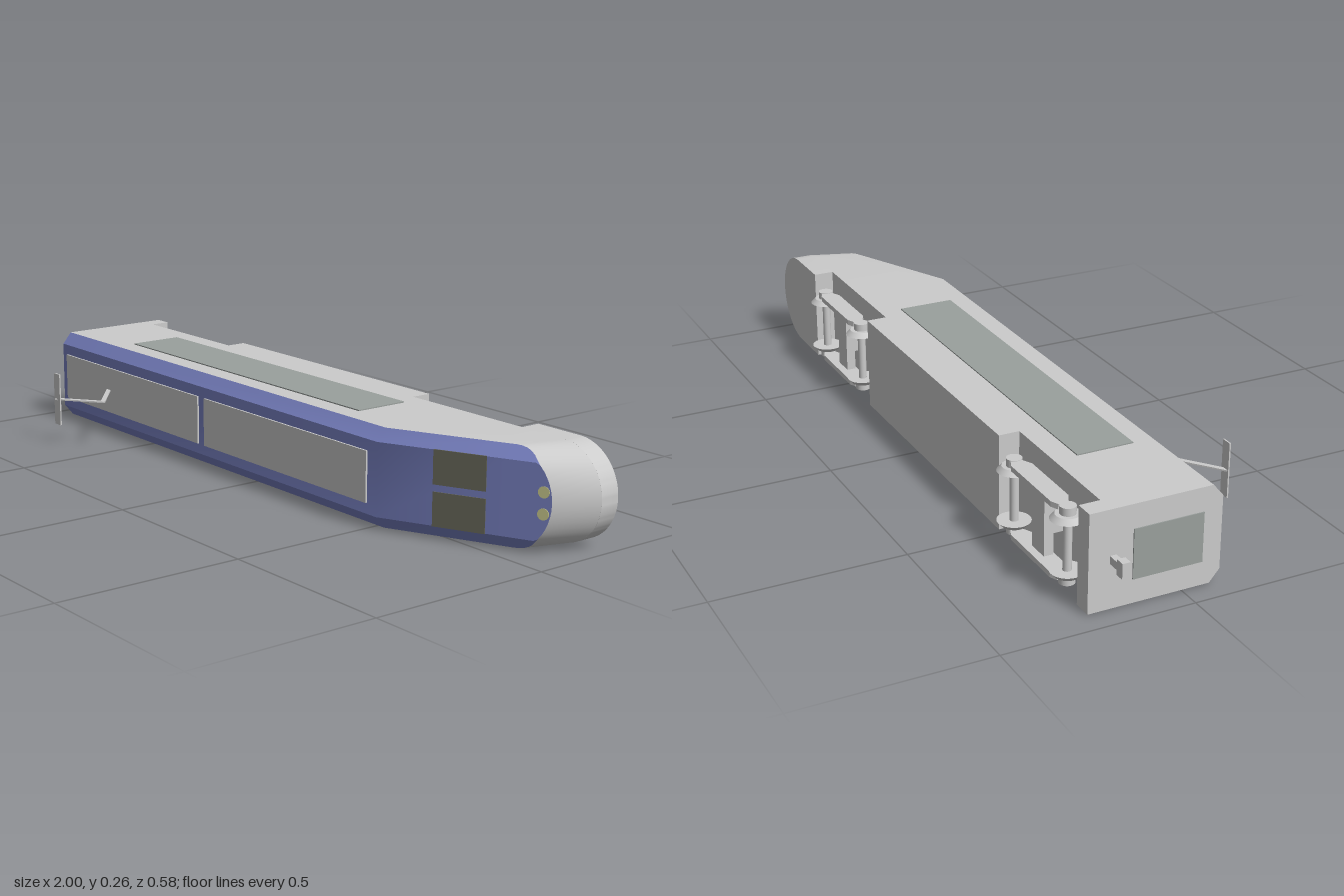
import * as THREE from 'three';
import { toCreasedNormals } from 'three/addons/utils/BufferGeometryUtils.js';

const mat = (color) => new THREE.MeshStandardMaterial({ color, side: THREE.DoubleSide });
const GREY = mat(0xcccccc), BLUE = mat(0x7780c0), GLASS = mat(0x9aa09d);
const DARK = mat(0x666659), YELLOW = mat(0xc8c88c);

// The car lies on its side: length on x, width on y, its roof faces +z.
const H = 0.128, ROOF = 0.096, REAR = -0.94, KNEE = 0.53, FLOOR = -0.195, BOTTOM = -0.25;
const SLOPE = 0.463, NOSE_STEPS = 24;
const roofZ = (x) => 0.1 - SLOPE * Math.max(0, x - KNEE);

function add(parent, name, geometry, material, x = 0, y = 0, z = 0) {
  const mesh = new THREE.Mesh(geometry, material);
  mesh.name = name;
  mesh.position.set(x, y, z);
  parent.add(mesh);
  return mesh;
}

// Box given by its limits on each axis
function span(parent, name, material, [x0, x1], [y0, y1], [z0, z1]) {
  const box = new THREE.BoxGeometry(x1 - x0, y1 - y0, z1 - z0);
  return add(parent, name, box, material, (x0 + x1) / 2, (y0 + y1) / 2, (z0 + z1) / 2);
}

// Plan outline with a rounded nose, counter-clockwise seen from the roof
function outline(base, reach, zAt, limit = H) {
  const plan = [[REAR, -H], [KNEE, -H]];
  for (let i = 0; i <= NOSE_STEPS; i++) {
    const a = -Math.PI / 2 + (Math.PI * i) / NOSE_STEPS;
    plan.push([base + reach * Math.cos(a), H * Math.sin(a)]);
  }
  plan.push([KNEE, H], [REAR, H]);
  return plan.map(([x, y]) => [x, THREE.MathUtils.clamp(y, -limit, limit), zAt(x, y)]);
}

const quad = (out, a, b, c, d) => out.push(...a, ...b, ...c, ...a, ...c, ...d);

// Wall between two rings, from segment 0 up to the given count
function wall(out, low, high, from, to) {
  const n = low.length;
  for (let i = from; i < to; i++) {
    const j = (i + 1) % n;
    quad(out, low[i], low[j], high[j], high[i]);
  }
}

// Cap bridging the two mirrored halves of a ring
function cap(out, ring, down) {
  const n = ring.length;
  for (let i = 0; i < (n - 1) / 2; i++) {
    const q = [ring[i], ring[i + 1], ring[n - 2 - i], ring[n - 1 - i]];
    quad(out, ...(down ? q.reverse() : q));
  }
}

function surface(points) {
  const g = new THREE.BufferGeometry();
  g.setAttribute('position', new THREE.Float32BufferAttribute(points, 3));
  return toCreasedNormals(g, 0.5);
}

function buildBody(car) {
  const floor = outline(0.87, 0.13, () => FLOOR);
  const edge = outline(0.84, 0.1, (x, y) => roofZ(x) - 0.84 * Math.max(0, Math.abs(y) - ROOF));
  const top = outline(0.84, 0.1, (x) => roofZ(x), ROOF);
  const n = floor.length, shell = [], paint = [];
  wall(shell, floor, edge, 0, n);
  wall(shell, edge, top, n - 1, n);
  cap(shell, floor, true);
  wall(paint, edge, top, 0, n - 1);
  cap(paint, top, false);
  add(car, 'bodyShell', surface(shell), GREY);
  add(car, 'paintedRoof', surface(paint), BLUE);

  // Underframe blocks leave a notch for each bogie
  span(car, 'rearSkirt', GREY, [REAR, -0.89], [-H, H], [BOTTOM, FLOOR]);
  span(car, 'middleSkirt', GREY, [-0.49, 0.33], [-H, H], [BOTTOM, FLOOR]);
  const nose = new THREE.Shape();
  nose.moveTo(0.73, -H);
  nose.lineTo(0.87, -H);
  nose.absellipse(0.87, 0, 0.13, H, -Math.PI / 2, Math.PI / 2, false);
  nose.lineTo(0.73, H);
  const skirt = new THREE.ExtrudeGeometry(nose, { depth: FLOOR - BOTTOM, bevelEnabled: false, curveSegments: NOSE_STEPS });
  add(car, 'noseSkirt', toCreasedNormals(skirt, 0.5), GREY, 0, 0, BOTTOM);
}

function buildFittings(car) {
  for (const x of [-0.915, -0.195]) {
    span(car, 'roofPanel', GREY, [x, x + 0.69], [-0.067, 0.067], [0.09, 0.105]);
  }
  for (const s of [-1, 1]) {
    span(car, 'sideWindow', GLASS, [-0.67, 0.363], [s * 0.129 - 0.002, s * 0.129 + 0.002], [-0.134, 0.018]);

    // Windscreen halves and lamps lie on the sloped front
    const tilt = Math.atan(SLOPE);
    const pane = add(car, 'windscreen', new THREE.BoxGeometry(0.137, 0.088, 0.004), DARK, 0.728, s * 0.053, roofZ(0.728));
    pane.rotation.y = tilt;
    const lamp = add(car, 'headlight', new THREE.CylinderGeometry(0.0145, 0.0145, 0.004, 24).rotateX(Math.PI / 2), YELLOW, 0.921, s * 0.027, roofZ(0.921));
    lamp.rotation.y = tilt;
  }
  span(car, 'rearDoor', GLASS, [REAR - 0.003, REAR + 0.002], [-0.065, 0.065], [-0.135, 0.05]);
  span(car, 'couplerShaft', GREY, [-0.985, REAR], [-0.01, 0.01], [-0.195, -0.178]);
  span(car, 'couplerHead', GREY, [-1, -0.975], [-0.02, 0.02], [-0.197, -0.176]);
}

function buildPantograph(car) {
  const pantograph = new THREE.Group();
  pantograph.name = 'pantograph';
  const joints = [[-0.69, 0.097], [-0.565, 0.198], [-0.675, 0.284]];
  for (let i = 0; i < 2; i++) {
    const [x0, z0] = joints[i], [x1, z1] = joints[i + 1];
    const length = Math.hypot(x1 - x0, z1 - z0) + 0.008;
    const arm = add(pantograph, 'pantographArm', new THREE.BoxGeometry(length, 0.004, 0.013), GREY, (x0 + x1) / 2, 0, (z0 + z1) / 2);
    arm.rotation.y = -Math.atan2(z1 - z0, x1 - x0);
  }
  span(pantograph, 'contactBar', GREY, [-0.685, -0.655], [-0.074, 0.076], [0.283, 0.287]);
  car.add(pantograph);
}

function buildBogie(car, x) {
  const bogie = new THREE.Group();
  bogie.name = 'bogie';
  bogie.position.x = x;
  // Side frame outline with sloping ends
  const frame = new THREE.Shape([[-0.12, -0.262], [-0.1, -0.271], [0.1, -0.271], [0.12, -0.262],
    [0.12, -0.235], [0.09, -0.22], [-0.09, -0.22], [-0.12, -0.235]].map((p) => new THREE.Vector2(...p)));
  const frameGeometry = new THREE.ExtrudeGeometry(frame, { depth: 0.014, bevelEnabled: false })
    .rotateX(Math.PI / 2).translate(0, 0.007, 0);
  // After the turn, the outline's height runs along z
  for (const s of [-1, 1]) {
    add(bogie, 'sideFrame', frameGeometry, GREY, 0, s * 0.092, 0);
    for (const wx of [-0.135, 0.135]) {
      const tread = s > 0 ? [0.031, 0.043] : [0.043, 0.031];
      add(bogie, 'wheel', new THREE.CylinderGeometry(...tread, 0.013, 32), GREY, wx, s * 0.0735, -0.245);
      add(bogie, 'axleBox', new THREE.CylinderGeometry(0.02, 0.02, 0.02, 20), GREY, wx, s * 0.09, -0.245);
    }
  }
  for (const wx of [-0.135, 0.135]) {
    add(bogie, 'axle', new THREE.CylinderGeometry(0.011, 0.011, 0.16, 16), GREY, wx, 0, -0.245);
  }
  span(bogie, 'bolster', GREY, [-0.03, 0.03], [-0.09, 0.09], [-0.25, -0.225]);
  span(bogie, 'pivot', GREY, [-0.02, 0.02], [-0.035, 0.035], [-0.23, FLOOR]);
  car.add(bogie);
}

export function createModel() {
  const car = new THREE.Group();
  car.name = 'railCar';
  car.position.y = 0.132;
  buildBody(car);
  buildFittings(car);
  buildPantograph(car);
  for (const x of [-0.697, 0.525]) buildBogie(car, x);
  const model = new THREE.Group();
  model.name = 'model';
  model.add(car);
  return model;
}
